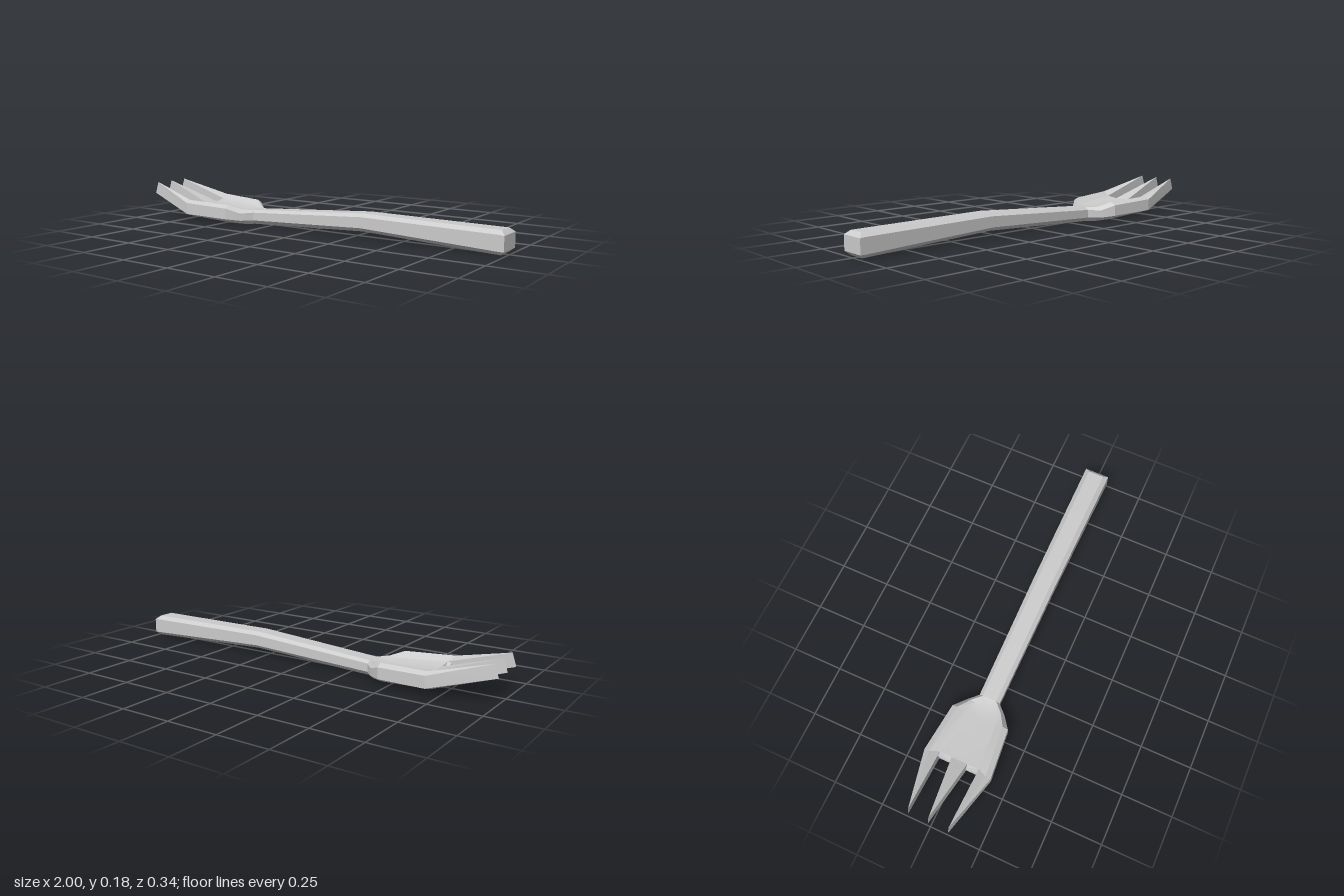
import * as THREE from 'three';
import { toCreasedNormals } from 'three/addons/utils/BufferGeometryUtils.js';

const material = new THREE.MeshStandardMaterial({ color: 0xcccccc });

// Skins rings of [x, y, z] points ordered by rising x; caps are [x, y, z] fan centres or null.
function loft(name, rings, startCap, endCap) {
  const tri = [];
  const n = rings[0].length;
  const add = (...pts) => pts.forEach((p) => tri.push(...p));
  for (let i = 0; i < rings.length - 1; i++) {
    for (let j = 0; j < n; j++) {
      const k = (j + 1) % n;
      const [a, b, c, d] = [rings[i][j], rings[i][k], rings[i + 1][j], rings[i + 1][k]];
      add(a, c, b);
      add(b, c, d);
    }
  }
  const first = rings[0], last = rings[rings.length - 1];
  for (let j = 0; j < n; j++) {
    const k = (j + 1) % n;
    if (startCap) add(startCap, first[j], first[k]);
    if (endCap) add(endCap, last[k], last[j]);
  }
  const geometry = new THREE.BufferGeometry();
  geometry.setAttribute('position', new THREE.Float32BufferAttribute(tri, 3));
  const mesh = new THREE.Mesh(toCreasedNormals(geometry, 0.4), material);
  mesh.name = name;
  return mesh;
}

const flip = (ring) => ring.map(([x, y, z]) => [x, y, -z]).reverse();

// Symmetric section from half a profile of [z, y] points
function section(x, half, lipX = x) {
  const side = half.map(([z, y], i) => [i > 3 ? lipX : x, y, z]);
  return [...side, ...flip(side)];
}

// Bevelled bar section: half width, flat top and bottom half widths, four heights
function bar(x, w, wTop, wBottom, y0, y1, y2, y3) {
  return section(x, [[wBottom, y0], [w, y1], [w, y2], [wTop, y3], [wTop * 0.8, y3], [wTop * 0.35, y3]]);
}

export function createModel() {
  const group = new THREE.Group();
  group.name = 'fork';

  // Dished head: bottom edge, side, rim, then the hollow
  const head = [
    section(-0.7, [[0.12, 0.02], [0.17, 0.036], [0.17, 0.094], [0.145, 0.108], [0.1, 0.088], [0.04, 0.08]], -0.68),
    section(-0.455, [[0.1, 0.005], [0.145, 0.028], [0.145, 0.083], [0.118, 0.098], [0.08, 0.073], [0.03, 0.064]]),
    section(-0.395, [[0.07, 0], [0.1, 0.02], [0.1, 0.057], [0.08, 0.075], [0.055, 0.067], [0.022, 0.063]]),
    bar(-0.35, 0.053, 0.035, 0.035, 0, 0.02, 0.06, 0.072),
  ];
  group.add(loft('head', head, [-0.7, 0.03, 0], null));

  // Handle rising to a gentle bend, with a bevelled end
  const handle = [
    bar(-0.35, 0.053, 0.035, 0.035, 0, 0.02, 0.06, 0.072),
    bar(0.3, 0.058, 0.037, 0.037, 0.03, 0.048, 0.1, 0.115),
    bar(0.98, 0.063, 0.04, 0.042, 0.002, 0.02, 0.092, 0.109),
    bar(1, 0.063, 0.063, 0.063, 0.02, 0.02, 0.09, 0.09),
  ];
  group.add(loft('handle', handle, null, [1, 0.055, 0]));

  // Tines taper to an upright edge
  const low = (z) => [-1, 0.117, z];
  const high = (z) => [-0.98, 0.178, z];
  const outerRoot = [
    [-0.7, 0.02, 0.12], [-0.7, 0.036, 0.17], [-0.7, 0.094, 0.17],
    [-0.7, 0.108, 0.145], [-0.68, 0.088, 0.1], [-0.7, 0.02, 0.1],
  ];
  const outerTip = [low(0.1), low(0.1), high(0.1), high(0.1), high(0.1), low(0.1)];
  group.add(loft('leftTine', [outerTip, outerRoot], null, null));
  group.add(loft('rightTine', [flip(outerTip), flip(outerRoot)], null, null));

  const middleRoot = [[-0.7, 0.02, 0.04], [-0.68, 0.08, 0.04], [-0.68, 0.08, -0.04], [-0.7, 0.02, -0.04]];
  const middleTip = [low(0), high(0), high(0), low(0)];
  group.add(loft('middleTine', [middleTip, middleRoot], null, null));

  return group;
}
